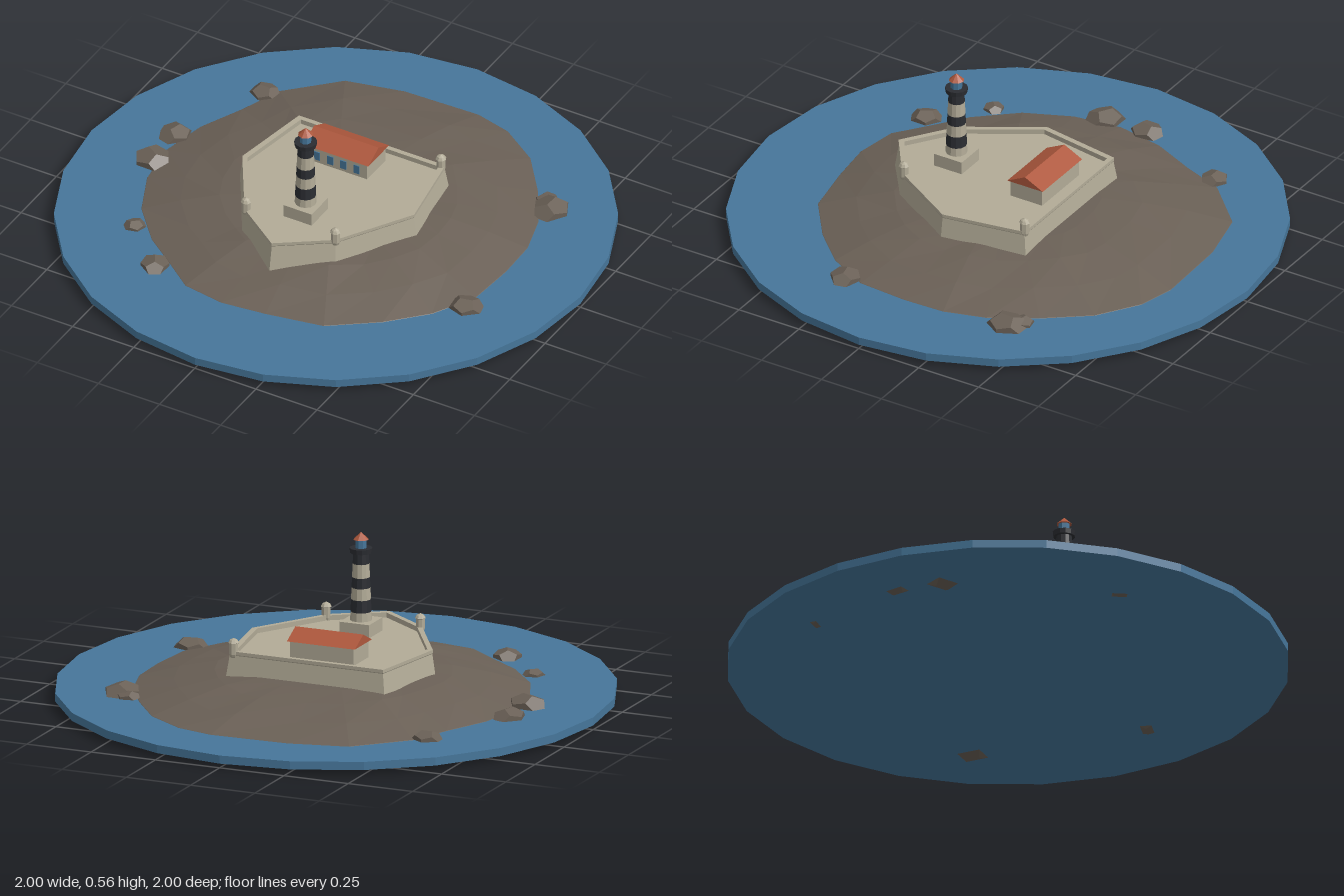
import * as THREE from 'three';

const mat = (name, color, flatShading = true) =>
  Object.assign(new THREE.MeshStandardMaterial({ color, flatShading }), { name });

export function createModel() {
  const sea = mat('sea blue', 0x46769a);
  const earth = mat('brown rock', 0x6a6056);
  const stone = mat('pale stone', 0xb2ab97);
  const dark = mat('charcoal', 0x2b2d32);
  const red = mat('roof red', 0xae583d);

  const model = new THREE.Group();
  model.name = 'fortIsland';
  const add = (name, geo, material, x = 0, y = 0, z = 0, parent = model) => {
    const m = new THREE.Mesh(geo, material);
    m.name = name;
    m.position.set(x, y, z);
    parent.add(m);
    return m;
  };
  const group = (name, x = 0, y = 0, z = 0) => {
    const g = new THREE.Group();
    g.name = name;
    g.position.set(x, y, z);
    model.add(g);
    return g;
  };

  // Joins scaled copies of an outline; each level is [scale, y]
  const loft = (outline, levels, cz = 0, wobble = () => 0) => {
    const n = outline.length, pos = [], idx = [];
    levels.forEach(([s, y], i) => outline.forEach(([x, z], j) =>
      pos.push(x * s, y + wobble(i, j), cz + (z - cz) * s)));
    for (let i = 0; i < levels.length - 1; i++) {
      for (let j = 0; j < n; j++) {
        const a = i * n + j, b = i * n + (j + 1) % n;
        idx.push(a, a + n, b, b, a + n, b + n);
      }
    }
    const g = new THREE.BufferGeometry();
    g.setAttribute('position', new THREE.Float32BufferAttribute(pos, 3));
    g.setIndex(idx);
    const flat = g.toNonIndexed();
    flat.computeVertexNormals();
    return flat;
  };

  // Sea disc
  add('sea', new THREE.CylinderGeometry(1, 1, 0.03, 24), sea, 0, 0.031, 0);

  // Island mound
  const shore = [
    [0.14, -0.765], [0.28, -0.73], [0.43, -0.63], [0.55, -0.475], [0.645, -0.315], [0.69, -0.16],
    [0.695, 0], [0.68, 0.19], [0.595, 0.35], [0.47, 0.48], [0.3, 0.605], [0.085, 0.645],
    [-0.085, 0.665], [-0.245, 0.64], [-0.37, 0.545], [-0.487, 0.46], [-0.61, 0.32], [-0.685, 0.15],
    [-0.71, -0.03], [-0.675, -0.21], [-0.6, -0.375], [-0.54, -0.535], [-0.37, -0.705], [-0.155, -0.755],
  ];
  add('island', loft(shore, [[1.01, 0.042], [1, 0.047], [0.8, 0.084], [0.6, 0.113], [0.42, 0.124], [0, 0.125]], 0,
    (i, j) => (i === 2 || i === 3 ? 0.004 * Math.sin(j * 2.3 + i) : 0)), earth);

  // Shore rocks: [x, z, radius]
  const rockShape = new THREE.DodecahedronGeometry(1, 0);
  [[-0.58, -0.5, 0.058], [-0.73, -0.125, 0.066], [-0.725, 0.045, 0.076], [-0.58, 0.42, 0.043],
    [-0.4, 0.59, 0.06], [0.68, 0.255, 0.065], [0.65, -0.4, 0.077], [0.61, -0.44, 0.048],
  ].forEach(([x, z, r], i) => {
    const rock = add('shoreRock', rockShape, earth, x, 0.044, z);
    rock.scale.set(r, r * 0.6, r * 0.92);
    rock.rotation.y = i * 1.3;
  });

  // Fort: battered wall, parapet and sunken floor
  const bastion = [[0.35, 0.055], [0.185, 0.325], [0, 0.455], [-0.185, 0.325], [-0.35, 0.055], [-0.298, -0.255], [0.298, -0.255]];
  add('fortWall', loft(bastion, [[1.05, 0.075], [1, 0.19], [1.005, 0.193], [1.005, 0.205], [0.945, 0.205], [0.945, 0.187], [0, 0.187]], 0.05), stone);

  // Corner sentry turrets
  const turret = new THREE.LatheGeometry([[0, 0.175], [0.012, 0.183], [0.017, 0.195], [0.017, 0.234], [0.02, 0.236],
    [0.014, 0.246], [0, 0.253]].map(([r, y]) => new THREE.Vector2(r, y)), 8);
  [[-0.183, 0.32], [0.183, 0.32], [0.286, -0.248]].forEach(([x, z]) => add('sentryTurret', turret, stone, x, 0, z));

  // Lighthouse with banded tower
  const light = group('lighthouse', 0, 0, 0.215);
  add('lighthouseBase', new THREE.BoxGeometry(0.115, 0.06, 0.115), stone, 0, 0.205, 0, light);
  const bands = [0.235, 0.267, 0.312, 0.355, 0.393, 0.443, 0.485];
  const radius = y => 0.039 - (y - 0.235) * 0.044;
  for (let i = 0; i < 6; i++) {
    const [a, b] = [bands[i], bands[i + 1]];
    add('towerBand', new THREE.CylinderGeometry(radius(b), radius(a), b - a, 12), i % 2 ? dark : stone, 0, (a + b) / 2, 0, light);
  }
  add('gallery', new THREE.CylinderGeometry(0.041, 0.039, 0.018, 12), dark, 0, 0.491, 0, light);
  add('lantern', new THREE.CylinderGeometry(0.021, 0.021, 0.034, 8), sea, 0, 0.516, 0, light);
  add('lanternRoof', new THREE.ConeGeometry(0.028, 0.027, 8), red, 0, 0.544, 0, light);

  // Keeper's house with solid gabled roof
  const house = group('house', -0.034, 0, -0.132);
  add('houseWalls', new THREE.BoxGeometry(0.246, 0.07, 0.132), stone, 0, 0.22, 0, house);
  const gable = new THREE.Shape([[-0.074, 0], [0.074, 0], [0, 0.037]].map(p => new THREE.Vector2(...p)));
  const roof = new THREE.ExtrudeGeometry(gable, { depth: 0.264, bevelEnabled: false }).translate(0, 0, -0.132).rotateY(Math.PI / 2);
  add('houseRoof', roof, red, 0, 0.251, 0, house);
  const pane = new THREE.BoxGeometry(0.024, 0.034, 0.006);
  for (let i = 0; i < 4; i++) add('window', pane, sea, -0.081 + i * 0.054, 0.217, 0.067, house);

  return model;
}
